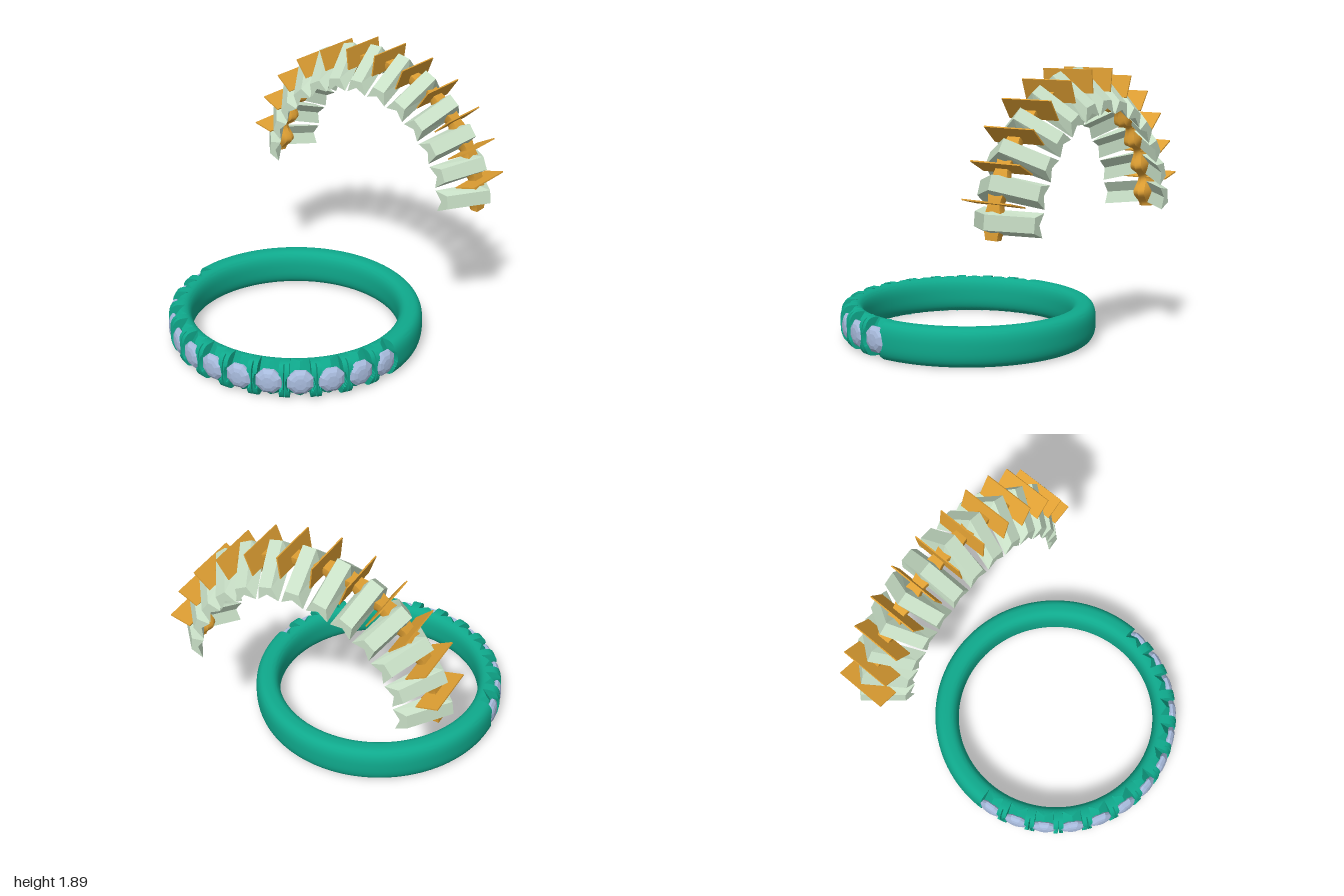
import * as THREE from 'three';
import { toCreasedNormals } from 'three/addons/utils/BufferGeometryUtils.js';

const COUNT = 13;
const PITCH = Math.PI / COUNT;
const HALF = PITCH / 2;

const teal = new THREE.MeshStandardMaterial({ color: 0x0fa98c });
const stone = new THREE.MeshStandardMaterial({ color: 0xa9bcde, flatShading: true });
const pale = new THREE.MeshStandardMaterial({ color: 0xc8dfc6, flatShading: true });
const amber = new THREE.MeshStandardMaterial({ color: 0xe0a033 });

// Skin a row of equal-sized rings; either joined end to end or capped
function loft(rings, closed) {
  const n = rings[0].length, m = rings.length;
  const index = [];
  for (let j = 0; j < (closed ? m : m - 1); j++) {
    for (let i = 0; i < n; i++) {
      const k = (i + 1) % n, j2 = (j + 1) % m;
      const a = j * n + i, b = j * n + k, c = j2 * n + i, d = j2 * n + k;
      index.push(a, c, b, c, d, b);
    }
  }
  if (!closed) {
    const e = (m - 1) * n;
    for (let i = 1; i < n - 1; i++) index.push(0, i, i + 1, e, e + i + 1, e + i);
  }
  const g = new THREE.BufferGeometry();
  g.setAttribute('position', new THREE.Float32BufferAttribute(rings.flat(2), 3));
  g.setIndex(index);
  return toCreasedNormals(g, 0.6);
}

// Sweep a changing (radius, height) section around the y axis, angle 0 at +z
function sweep(angles, section, closed) {
  return loft(angles.map((t) =>
    section(t).map(([r, y]) => [r * Math.sin(t), y, r * Math.cos(t)])), closed);
}

function superellipse(r0, a, b, power, count) {
  const f = (v) => Math.sign(v) * Math.abs(v) ** (2 / power);
  return Array.from({ length: count }, (_, i) => {
    const p = (i / count) * Math.PI * 2;
    return [r0 + a * f(Math.cos(p)), b * f(Math.sin(p))];
  });
}

function addMesh(parent, name, geometry, material) {
  const mesh = new THREE.Mesh(geometry, material);
  mesh.name = name;
  parent.add(mesh);
  return mesh;
}

// Repeat a part around the y axis
function repeatAround(parent, name, geometry, material, count) {
  for (let i = 0; i < count; i++) {
    addMesh(parent, name, geometry, material).rotation.y = (i - (count - 1) / 2) * PITCH;
  }
}

// Ring band, with notches, gem seats and prong slits across the front half
function bandGeometry() {
  const base = superellipse(0.8, 0.085, 0.13, 2.7, 56);
  const half = [0.012, 0.025, 0.038, 0.05, 0.06, 0.07, 0.08, 0.0808,
    0.087, 0.094, 0.1, 0.106, 0.112, 0.1155, 0.116];
  const offsets = [...half.map((v) => -v).reverse(), 0, ...half, HALF];
  const angles = [];
  for (let k = 0; k < COUNT; k++) {
    for (const s of offsets) angles.push((k - (COUNT - 1) / 2) * PITCH + s);
  }
  for (let i = 1; i < 64; i++) angles.push(Math.PI / 2 + (i / 64) * Math.PI);

  return sweep(angles, (t) => {
    if (t > Math.PI / 2 - 0.004) return base;
    const s = t - Math.round(t / PITCH) * PITCH;
    const off = Math.abs(s);
    const nearEnd = Math.abs(t) > Math.PI / 2 - 0.01;
    return base.map(([r, y]) => {
      const h = Math.abs(y);
      let limit = 1;
      // V-shaped notch above and below each gem
      if (off <= 0.0803) limit = 0.86 - 0.72 * h + 0.04 * (1 - off / 0.08);
      // round seat
      if (Math.hypot(s * 0.87, y) < 0.093) limit = Math.min(limit, 0.835);
      // slit splitting each prong
      if (off > 0.1157 && !nearEnd) limit = Math.min(limit, 0.835);
      return [Math.min(r, limit), y];
    });
  }, true);
}

// Faceted stone, its table facing +z
function gemGeometry() {
  const profile = [[0, -0.08], [0.092, -0.012], [0.092, 0.004], [0.068, 0.022], [0.042, 0.03], [0, 0.032]];
  return new THREE.LatheGeometry(profile.map(([x, y]) => new THREE.Vector2(x, y)), 8)
    .rotateY(Math.PI / 8).rotateX(Math.PI / 2).translate(0, 0, 0.853);
}

// Roof-shaped block with a fishtail underside, highest at its middle
function blockGeometry() {
  const stations = [[-0.225, 0.79, 0.70], [0, 0.99, 0.86], [0.225, 0.79, 0.70]];
  return loft(stations.map(([y, outer, inner]) => [
    [0, y, inner + 0.04], [0.075, y, inner], [0.047, y, outer],
    [-0.047, y, outer], [-0.075, y, inner],
  ]), false);
}

// Beaded rail running through the blocks
function railGeometry() {
  const steps = COUNT * 12;
  const angles = Array.from({ length: steps + 1 }, (_, i) => (i / steps - 0.5) * Math.PI);
  return sweep(angles, (t) => {
    const bead = 0.5 + 0.5 * Math.cos((t / PITCH) * Math.PI * 2);
    const w = 0.045 + 0.02 * bead;
    const low = 0.83 - 0.06 * bead;
    return [[0.912, -w], [0.912, w], [0.87, w], [low + 0.015, w * 0.65],
      [low, 0], [low + 0.015, -w * 0.65], [0.87, -w]];
  }, false);
}

export function createModel() {
  const model = new THREE.Group();
  model.name = 'ringWithArch';

  const ring = new THREE.Group();
  ring.name = 'ring';
  ring.position.set(0, 0.13, 0.115);
  addMesh(ring, 'band', bandGeometry(), teal);
  repeatAround(ring, 'gem', gemGeometry(), stone, COUNT);
  model.add(ring);

  // Upright arch of blocks and plates behind the ring
  const arch = new THREE.Group();
  arch.name = 'arch';
  arch.position.set(0, 0.9, -0.775);
  arch.rotation.x = -Math.PI / 2;
  addMesh(arch, 'rail', railGeometry(), amber);
  repeatAround(arch, 'block', blockGeometry(), pale, COUNT);
  const plate = new THREE.BoxGeometry(0.009, 0.365, 0.15).translate(0, 0, 0.917);
  repeatAround(arch, 'plate', plate, amber, COUNT - 1);
  model.add(arch);

  return model;
}
